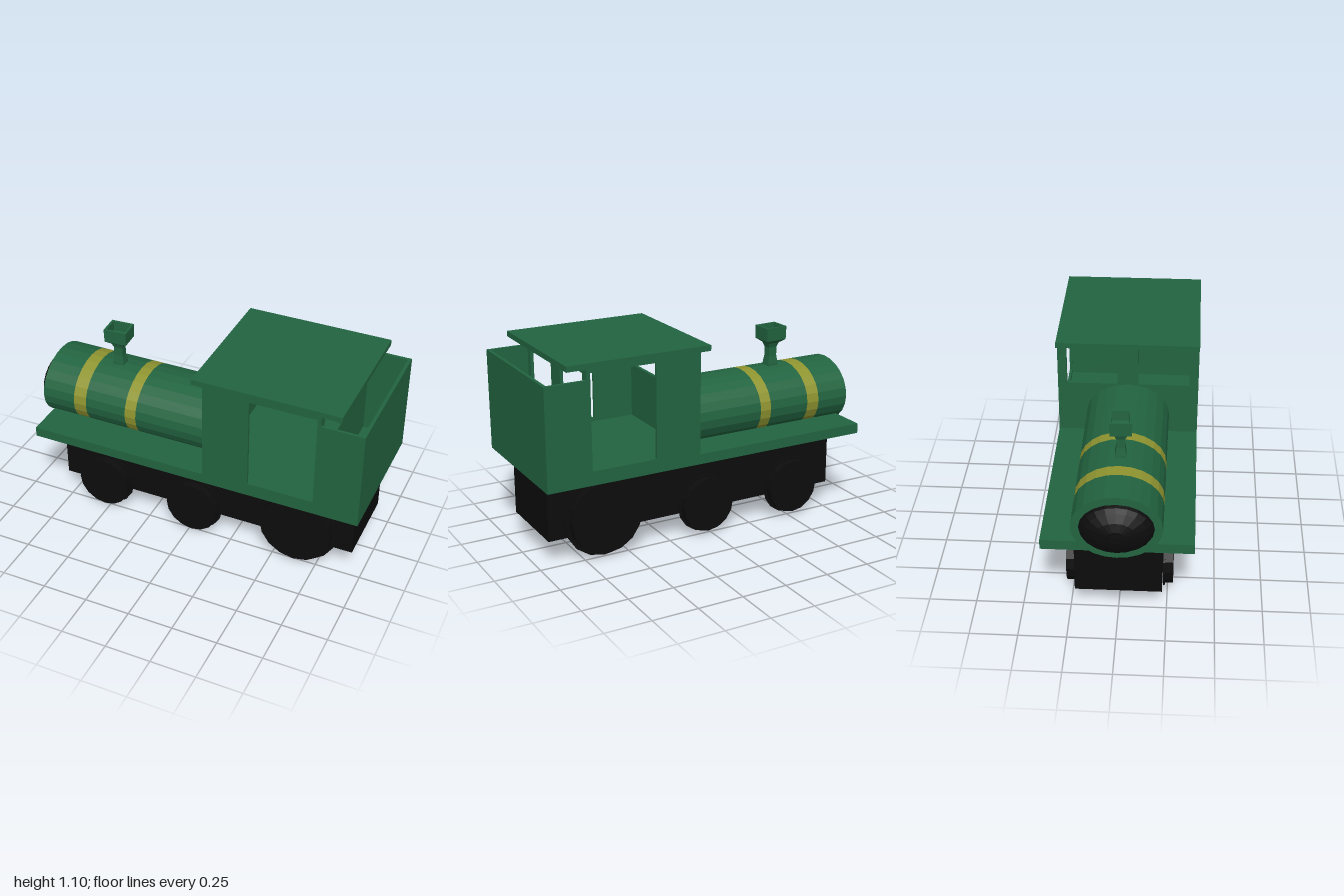
import * as THREE from 'three';

const mat = (name, color) => {
  const m = new THREE.MeshStandardMaterial({ color, flatShading: true, side: THREE.DoubleSide });
  m.name = name;
  return m;
};

export function createModel() {
  const root = new THREE.Group();
  root.name = 'steamLocomotive';
  const green = mat('green', 0x226440);
  const yellow = mat('yellow', 0x8f9430);
  const black = mat('black', 0x0c0c0c);

  const add = (name, geo, material, parent = root) => {
    const mesh = new THREE.Mesh(geo, material);
    mesh.name = name;
    parent.add(mesh);
    return mesh;
  };
  // box given by its lower and upper limits
  const box = (name, x0, x1, y0, y1, z0, z1, material) => {
    const g = new THREE.BoxGeometry(x1 - x0, y1 - y0, z1 - z0);
    g.translate((x0 + x1) / 2, (y0 + y1) / 2, (z0 + z1) / 2);
    return add(name, g, material);
  };
  const pts = list => list.map(([x, y]) => new THREE.Vector2(x, y));
  const rect = (x0, x1, y0, y1) => [[x0, y0], [x1, y0], [x1, y1], [x0, y1]];
  // flat wall with rectangular openings
  const wall = (outline, holes, depth) => {
    const s = new THREE.Shape(pts(outline));
    holes.forEach(h => s.holes.push(new THREE.Path(pts(h))));
    return new THREE.ExtrudeGeometry(s, { depth, bevelEnabled: false });
  };

  // frame and running board
  box('chassis', -0.78, 0.94, 0.135, 0.47, -0.225, 0.225, black);
  box('runningBoard', -0.87, 1, 0.465, 0.52, -0.385, 0.385, green);

  // oval boiler, split at the two bands
  const cy = 0.633;
  const stops = [-0.9, -0.71, -0.635, -0.395, -0.33, 0.145];
  for (let i = 0; i < 5; i++) {
    const a = stops[i], b = stops[i + 1];
    const g = new THREE.CylinderGeometry(1, 1, b - a, 24, 1, i > 0);
    g.rotateZ(Math.PI / 2).scale(1, 0.184, 0.228).translate((a + b) / 2, cy, 0);
    add(i % 2 ? 'boilerBand' : 'boiler', g, i % 2 ? yellow : green);
  }

  // domed boiler door with its knob
  const dome = new THREE.LatheGeometry(
    pts([[1, 0], [0.96, 0.018], [0.84, 0.042], [0.55, 0.066], [0.25, 0.08], [0, 0.082]]), 20);
  dome.rotateZ(Math.PI / 2).scale(1, 0.142, 0.187).translate(-0.9, cy, 0);
  add('boilerDoor', dome, black);
  const knob = new THREE.CylinderGeometry(1, 1, 0.035, 10);
  knob.rotateZ(Math.PI / 2).scale(1, 0.02, 0.034).translate(-0.9825, cy, 0);
  add('doorKnob', knob, black);

  // square chimney with a hollow top
  const chimney = new THREE.LatheGeometry(
    pts([[0.034, 0.79], [0.032, 0.825], [0.025, 0.87], [0.025, 0.92], [0.035, 0.945], [0.063, 0.965],
      [0.065, 1.04], [0.052, 1.04], [0.05, 0.985], [0, 0.975]]
      .map(([r, y]) => [r * Math.SQRT2, y])), 4, Math.PI / 4);
  chimney.scale(1, 1, 0.88).rotateY(0.06).translate(-0.53, 0, 0);
  add('chimney', chimney, green);

  // cab and bunker sides with door openings
  const sideOutline = [[0.14, 0.51], [1, 0.51], [1, 1.015], [0.775, 1.015], [0.775, 1.075], [0.14, 1.075]];
  for (const z of [-0.385, 0.37]) {
    const g = wall(sideOutline, [rect(0.395, 0.755, 0.54, 1.05)], 0.015);
    g.translate(0, 0, z);
    add('cabSide', g, green);
  }

  // cab front and back walls with two windows each
  for (const [name, x] of [['cabFront', 0.16], ['cabBack', 0.775]]) {
    const g = wall(rect(-0.372, 0.372, 0.51, 1.075),
      [rect(0.057, 0.335, 0.82, 1.04), rect(-0.335, -0.057, 0.82, 1.04)], 0.018);
    g.rotateY(-Math.PI / 2).translate(x, 0, 0);
    add(name, g, green);
  }
  box('bunkerBack', 0.982, 1, 0.51, 1.015, -0.372, 0.372, green);
  box('roof', 0.08, 0.88, 1.07, 1.1, -0.386, 0.386, green);

  // flanged wheels: x, centre height, tread radius, flange radius
  const axles = [[-0.52, 0.173, 0.15, 0.163], [0.025, 0.173, 0.15, 0.163], [0.63, 0.225, 0.2, 0.225]];
  for (const [x, y, tread, flange] of axles) {
    for (const side of [-1, 1]) {
      const wheel = new THREE.Group();
      wheel.name = 'wheel';
      wheel.position.set(x, y, 0);
      root.add(wheel);
      const disc = (name, r, z0, z1) => {
        const g = new THREE.CylinderGeometry(r, r, z1 - z0, 16);
        g.rotateX(Math.PI / 2).translate(0, 0, side * (z0 + z1) / 2);
        add(name, g, black, wheel);
      };
      disc('wheelTread', tread, 0.23, 0.28);
      disc('wheelFlange', flange, 0.227, 0.237);
    }
    // axle joining the pair
    const axle = new THREE.CylinderGeometry(0.025, 0.025, 0.48, 10);
    axle.rotateX(Math.PI / 2).translate(x, y, 0);
    add('axle', axle, black);
  }
  return root;
}
